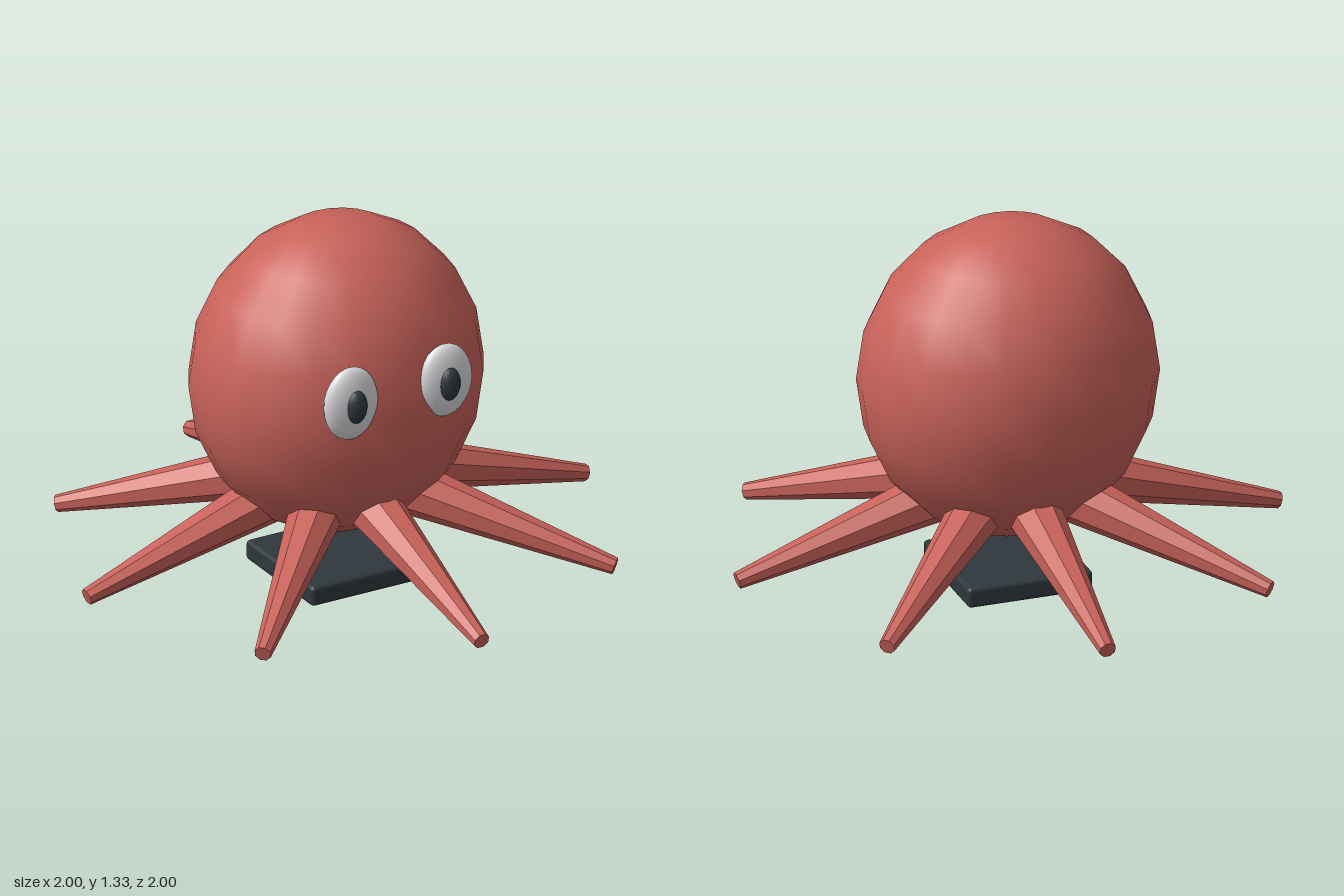
import * as THREE from 'three';
import { RoundedBoxGeometry } from 'three/addons/geometries/RoundedBoxGeometry.js';

function material(name, color) {
  const m = new THREE.MeshStandardMaterial({ color });
  m.name = name;
  return m;
}

export function createModel() {
  const coral = material('coral red', 0xc9625a);
  const coralFaceted = coral;
  const white = material('eye white', 0xdcdce0);
  const dark = material('charcoal', 0x2f383d);

  const model = new THREE.Group();
  model.name = 'octopus';

  const add = (name, geometry, mat, parent = model) => {
    const mesh = new THREE.Mesh(geometry, mat);
    mesh.name = name;
    parent.add(mesh);
    return mesh;
  };

  const ellipsoid = (name, mat, center, radii, w, h) => {
    const mesh = add(name, new THREE.SphereGeometry(1, w, h), mat);
    mesh.position.set(...center);
    mesh.scale.set(...radii);
    return mesh;
  };

  // Egg-shaped head
  ellipsoid('head', coral, [0, 0.755, 0], [0.53, 0.575, 0.455], 20, 10);

  // Bulging eyes with pupils
  for (const [side, s] of [['left', 1], ['right', -1]]) {
    ellipsoid(side + 'Eye', white, [s * 0.187, 0.845, 0.42], [0.105, 0.135, 0.045], 20, 14);
    ellipsoid(side + 'Pupil', dark, [s * 0.185, 0.845, 0.455], [0.04, 0.062, 0.033], 16, 12);
  }

  // Eight tapered arms spread in a ring, sloping down to the tips
  const base = { r: 0.2, y: 0.36 };
  const tip = { r: 0.99, y: 0.13 };
  const length = Math.hypot(tip.r - base.r, tip.y - base.y);
  const tilt = Math.atan2(base.y - tip.y, tip.r - base.r);
  // Non-indexed normals give the arms flat facets while sharing the head colour
  const armGeometry = new THREE.CylinderGeometry(0.03, 0.1, length, 8)
    .rotateY(Math.PI / 8)
    .rotateX(Math.PI / 2)
    .toNonIndexed();
  armGeometry.computeVertexNormals();
  for (let i = 0; i < 8; i++) {
    const pivot = new THREE.Group();
    pivot.name = 'armPivot' + (i + 1);
    pivot.rotation.y = (i * Math.PI) / 4;
    model.add(pivot);
    const arm = add('arm' + (i + 1), armGeometry, coralFaceted, pivot);
    arm.position.set(0, (base.y + tip.y) / 2, (base.r + tip.r) / 2);
    arm.rotation.x = tilt;
  }

  // Square foot plate below the head
  const plate = add('basePlate', new RoundedBoxGeometry(0.456, 0.074, 0.456, 2, 0.015), dark);
  plate.position.y = 0.037;

  return model;
}
